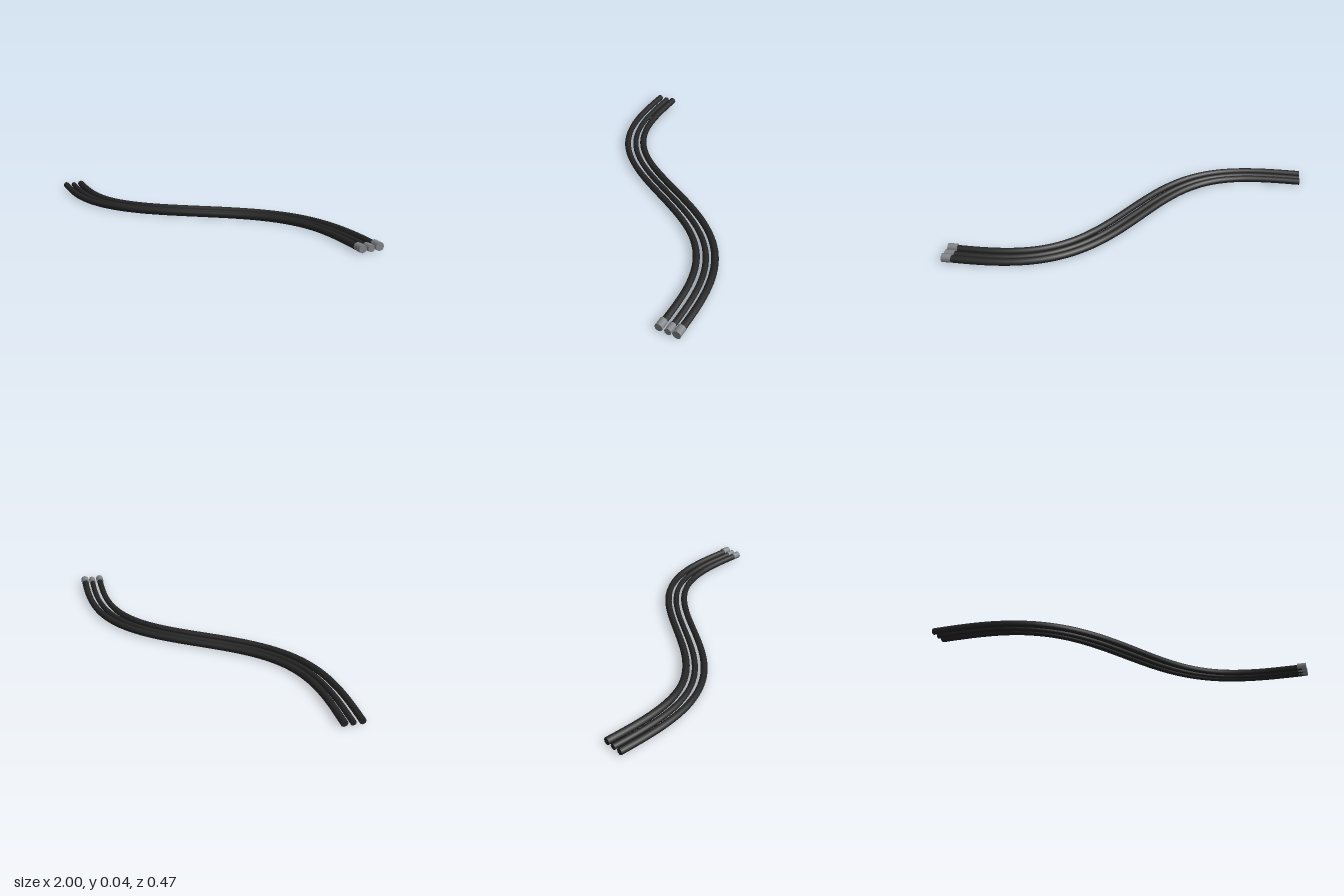
import * as THREE from 'three';

const END = 0.968;        // half length of the S-bend along x
const AMPLITUDE = 0.177;

// Point and heading on a bend running parallel to the middle cable
function bendPoint(x, offset, y) {
  const k = Math.PI / END;
  const heading = new THREE.Vector3(1, 0, -AMPLITUDE * k * Math.cos(k * x)).normalize();
  const point = new THREE.Vector3(x, y, -AMPLITUDE * Math.sin(k * x));
  point.x -= heading.z * offset;
  point.z += heading.x * offset;
  return { point, heading };
}

class BendCurve extends THREE.Curve {
  constructor(offset, y) {
    super();
    this.offset = offset;
    this.y = y;
  }
  getPoint(t, target = new THREE.Vector3()) {
    const x = THREE.MathUtils.lerp(-END, 0.95, t);
    return target.copy(bendPoint(x, this.offset, this.y).point);
  }
}

export function createModel() {
  const model = new THREE.Group();
  model.name = 'cableBundle';
  const rubber = new THREE.MeshStandardMaterial({ color: 0x262626 });
  const metal = new THREE.MeshStandardMaterial({ color: 0x85888c });
  const xAxis = new THREE.Vector3(1, 0, 0);

  const cables = [
    { name: 'backCable', offset: -0.042, radius: 0.0177 },
    { name: 'middleCable', offset: 0, radius: 0.0145 },
    { name: 'frontCable', offset: 0.044, radius: 0.0165 },
  ];

  for (const { name, offset, radius } of cables) {
    const cable = new THREE.Group();
    cable.name = name;
    const curve = new BendCurve(offset, radius);

    // Eight-sided sheath following the bend
    const sheath = new THREE.Mesh(new THREE.TubeGeometry(curve, 64, radius, 8), rubber);
    sheath.name = 'sheath';
    cable.add(sheath);

    // Disc closing the plain end
    const start = bendPoint(-END, offset, radius);
    const plug = new THREE.Mesh(new THREE.CircleGeometry(radius, 8), rubber);
    plug.name = 'endDisc';
    plug.position.copy(start.point);
    plug.quaternion.setFromUnitVectors(new THREE.Vector3(0, 0, 1), start.heading.clone().negate());
    cable.add(plug);

    // Wider metal connector resting on the ground at the other end
    const capRadius = radius * 1.2;
    const tip = bendPoint(0.95, offset, capRadius);
    const capGeometry = new THREE.CylinderGeometry(capRadius, capRadius, 0.046, 8);
    capGeometry.rotateZ(-Math.PI / 2);
    const cap = new THREE.Mesh(capGeometry, metal);
    cap.name = 'connector';
    cap.position.copy(tip.point);
    cap.quaternion.setFromUnitVectors(xAxis, tip.heading);
    cable.add(cap);

    model.add(cable);
  }
  return model;
}
